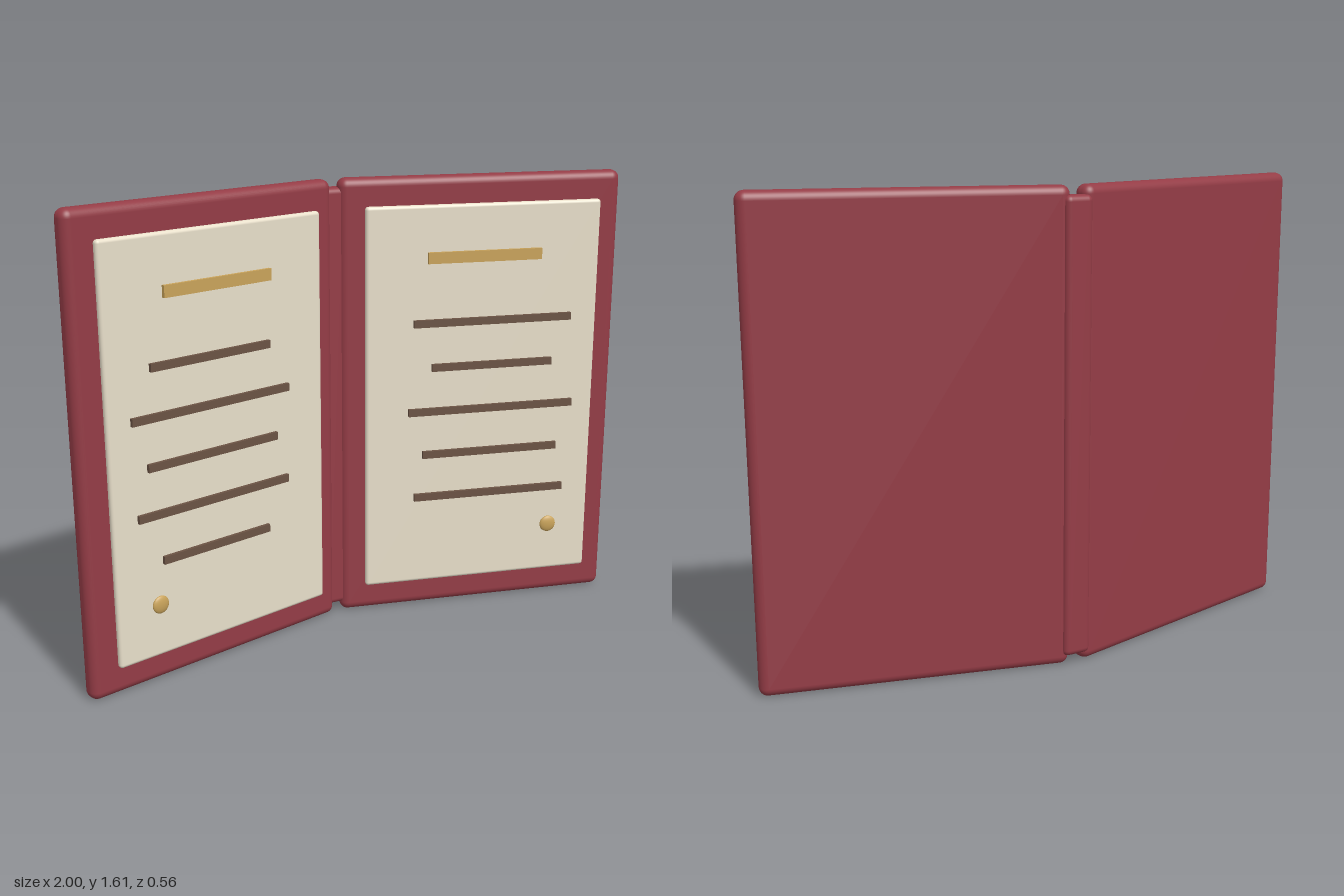
import * as THREE from 'three';
import { RoundedBoxGeometry } from 'three/addons/geometries/RoundedBoxGeometry.js';

const mat = (color) => new THREE.MeshStandardMaterial({ color });
const H = 1.613; // cover height

export function createModel() {
  const red = mat(0x943c46), cream = mat(0xe8dfca), gold = mat(0xc9a35a), brown = mat(0x6b5344);
  const model = new THREE.Group();
  model.name = 'openFolder';

  const add = (parent, name, geometry, material, x, y, z) => {
    const mesh = new THREE.Mesh(geometry, material);
    mesh.name = name;
    mesh.position.set(x, y, z);
    parent.add(mesh);
    return mesh;
  };

  // One cover with its page; side is -1 for the flat half, +1 for the turned half
  const half = (name, side, widths) => {
    const g = new THREE.Group();
    g.name = name;
    add(g, 'cover', new RoundedBoxGeometry(1.037, H, 0.07, 5, 0.03), red, 0, H / 2, 0);
    add(g, 'page', new RoundedBoxGeometry(0.865, 1.41, 0.027, 3, 0.012), cream, 0, 0.813, 0.058);
    add(g, 'titleBar', new THREE.BoxGeometry(0.42, 0.04, 0.014), gold, 0, 1.334, 0.077);
    widths.forEach((w, i) =>
      add(g, 'textLine', new THREE.BoxGeometry(w, 0.027, 0.014), brown, side * 0.036, 1.1 - i * 0.1635, 0.077));
    // Flattened round seal in the outer lower corner
    add(g, 'seal', new THREE.SphereGeometry(0.031, 24, 16), gold, side * 0.275, 0.296, 0.08).scale.z = 0.35;
    model.add(g);
    return g;
  };

  half('rightHalf', -1, [0.47, 0.625, 0.52, 0.61, 0.435]).position.set(-0.4815, 0, -0.24);

  const turned = half('leftHalf', 1, [0.59, 0.453, 0.625, 0.515, 0.577]);
  turned.position.set(0.535, 0, 0.014);
  turned.rotation.y = -THREE.MathUtils.degToRad(28);

  // Spine bridging the two covers at half the opening angle
  const spine = add(model, 'spine', new RoundedBoxGeometry(0.1, 1.55, 0.07, 4, 0.02), red, 0.06, H / 2, -0.242);
  spine.rotation.y = -THREE.MathUtils.degToRad(14);

  return model;
}
